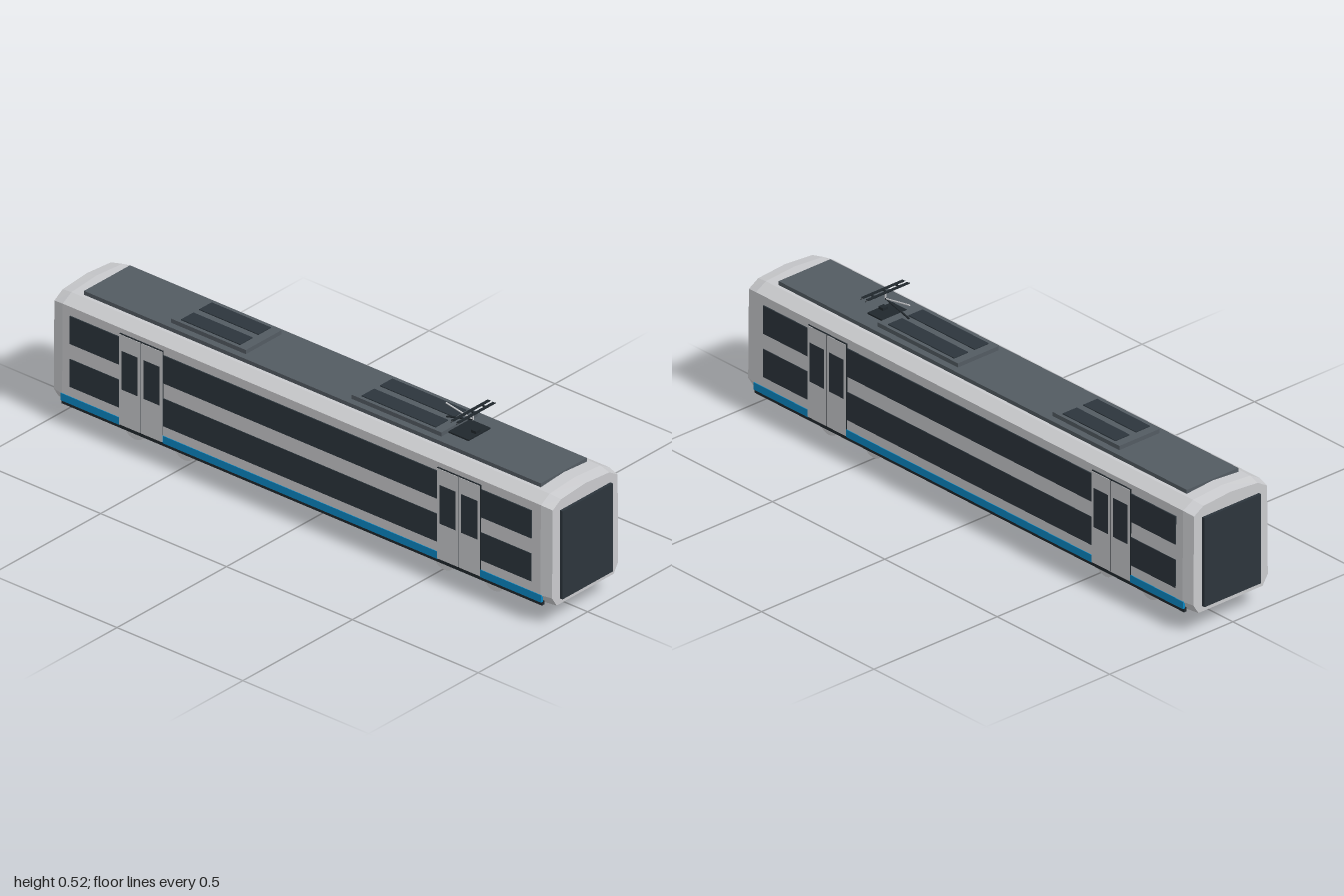
import * as THREE from 'three';

const mat = (name, color) => {
  const m = new THREE.MeshStandardMaterial({ color });
  m.name = name;
  return m;
};

export function createModel() {
  const light = mat('light grey paint', 0xc9cacd);
  const glass = mat('dark glass', 0x2c353c);
  const slate = mat('slate roof', 0x535b62);
  const blue = mat('blue stripe', 0x0a88c4);
  const black = mat('dark underframe', 0x20272c);

  const train = new THREE.Group();
  train.name = 'railCar';

  const add = (parent, name, geometry, material) => {
    const m = new THREE.Mesh(geometry, material);
    m.name = name;
    parent.add(m);
    return m;
  };
  // Box given by its limits on each axis
  const box = (parent, name, material, [x0, x1], [y0, y1], [z0, z1]) => {
    const m = add(parent, name, new THREE.BoxGeometry(x1 - x0, y1 - y0, z1 - z0), material);
    m.position.set((x0 + x1) / 2, (y0 + y1) / 2, (z0 + z1) / 2);
    return m;
  };
  // Round bar between two points
  const bar = (parent, name, material, a, b, r) => {
    const p = new THREE.Vector3(...a), q = new THREE.Vector3(...b);
    const m = add(parent, name, new THREE.CylinderGeometry(r, r, p.distanceTo(q), 8), material);
    m.position.copy(p).add(q).multiplyScalar(0.5);
    m.quaternion.setFromUnitVectors(new THREE.Vector3(0, 1, 0), q.sub(p).normalize());
    return m;
  };
  const group = (name) => {
    const g = new THREE.Group();
    g.name = name;
    train.add(g);
    return g;
  };

  // Body shell: one faceted cross-section, narrowed at both ends
  const half = [[0.137, 0.072], [0.159, 0.105], [0.156, 0.412], [0.116, 0.435], [0, 0.444]];
  const ring = [...half, ...half.slice(0, 4).reverse().map(([z, y]) => [-z, y])];
  const n = ring.length;
  const section = (x, sz, drop) => ring.map(([z, y]) => [x, y > 0.4 ? y - drop : y, z * sz]);
  const sections = [section(-0.99, 0.95, 0.007), section(-0.95, 1, 0), section(0.95, 1, 0), section(0.99, 0.95, 0.007)];
  const pos = [];
  const tri = (...pts) => pts.forEach((p) => pos.push(...p));
  for (let s = 0; s < 3; s++) {
    const a = sections[s], b = sections[s + 1];
    for (let j = 0; j < n; j++) {
      const k = (j + 1) % n;
      tri(a[j], b[j], b[k]);
      tri(a[j], b[k], a[k]);
    }
  }
  for (let j = 1; j < n - 1; j++) {
    tri(sections[0][0], sections[0][j], sections[0][j + 1]);
    tri(sections[3][0], sections[3][j + 1], sections[3][j]);
  }
  const shell = new THREE.BufferGeometry();
  shell.setAttribute('position', new THREE.Float32BufferAttribute(pos, 3));
  shell.computeVertexNormals();
  add(train, 'bodyShell', shell, light);

  // Dark end panels
  for (const s of [-1, 1]) {
    box(train, 'endPanel', glass, s > 0 ? [0.985, 1] : [-1, -0.985], [0.09, 0.392], [-0.115, 0.115]);
  }

  // Side details, the same on both long sides
  const doorCentres = [-0.635, 0.628];
  for (const s of [-1, 1]) {
    const side = group(s > 0 ? 'frontSide' : 'backSide');
    const zs = (inner, outer) => (s > 0 ? [inner, outer] : [-outer, -inner]);
    for (const y of [[0.14, 0.235], [0.287, 0.382]]) {
      for (const x of [[-0.92, -0.72], [-0.55, 0.543], [0.713, 0.915]]) {
        box(side, 'windowBand', glass, x, y, zs(0.152, 0.1602));
      }
    }
    for (const x of [[-0.955, -0.72], [-0.55, 0.543], [0.713, 0.955]]) {
      box(side, 'stripe', blue, x, [0.082, 0.107], zs(0.153, 0.1612));
    }
    box(side, 'sill', black, [-0.955, 0.955], [0.07, 0.083], zs(0.146, 0.157));
    for (const c of doorCentres) {
      box(side, 'doorGap', black, [c - 0.086, c + 0.086], [0.086, 0.396], zs(0.152, 0.161));
      for (const d of [-1, 1]) {
        const m = c + d * 0.0435;
        box(side, 'doorLeaf', light, [m - 0.0415, m + 0.0415], [0.085, 0.394], zs(0.154, 0.1625));
        box(side, 'doorWindow', glass, [m - 0.032, m + 0.032], [0.208, 0.34], zs(0.16, 0.1634));
      }
    }
  }

  // Roof deck and equipment pods with dark grilles
  box(train, 'roofDeck', slate, [-0.91, 0.905], [0.434, 0.449], [-0.105, 0.105]);
  for (const [x0, x1] of [[-0.585, -0.287], [0.133, 0.49]]) {
    box(train, 'roofPod', slate, [x0, x1], [0.446, 0.463], [-0.082, 0.082]);
    for (const z of [[-0.07, -0.013], [0.013, 0.07]]) {
      box(train, 'roofGrille', glass, [x0 + 0.03, x1 - 0.033], [0.46, 0.466], z);
    }
  }

  // Current collector on the roof
  const collector = group('currentCollector');
  box(collector, 'collectorBase', black, [0.49, 0.57], [0.447, 0.454], [-0.05, 0.05]);
  box(collector, 'collectorMount', black, [0.545, 0.565], [0.45, 0.463], [-0.01, 0.01]);
  bar(collector, 'lowerArm', black, [0.44, 0.466, 0], [0.545, 0.494, 0], 0.003);
  bar(collector, 'upperArm', light, [0.545, 0.493, 0], [0.437, 0.512, 0], 0.0025);
  bar(collector, 'headLink', light, [0.545, 0.493, 0], [0.545, 0.518, 0], 0.0025);
  for (const x of [0.535, 0.556]) {
    box(collector, 'contactStrip', black, [x - 0.005, x + 0.005], [0.519, 0.522], [-0.083, 0.083]);
    for (const s of [-1, 1]) {
      bar(collector, 'headHorn', black, [x, 0.52, s * 0.082], [x, 0.517, s * 0.09], 0.0015);
    }
  }
  for (const z of [-0.05, 0, 0.05]) {
    box(collector, 'headBrace', black, [0.532, 0.559], [0.517, 0.52], [z - 0.003, z + 0.003]);
  }

  // Bogies: wheels, axles, axle boxes and cross frame
  for (const c of [-0.626, 0.604]) {
    const bogie = group('bogie');
    box(bogie, 'bogieBolster', black, [c - 0.03, c + 0.03], [0.045, 0.074], [-0.068, 0.068]);
    box(bogie, 'bogieSpine', black, [c - 0.1, c + 0.1], [0.05, 0.062], [-0.015, 0.015]);
    for (const d of [-1, 1]) {
      const x = c + d * 0.099;
      bar(bogie, 'axle', black, [x, 0.046, -0.095], [x, 0.046, 0.095], 0.011);
      for (const s of [-1, 1]) {
        const wheel = add(bogie, 'wheel', new THREE.CylinderGeometry(0.046, 0.046, 0.014, 24), light);
        wheel.rotation.x = Math.PI / 2;
        wheel.position.set(x, 0.046, s * 0.079);
        box(bogie, 'axleBox', black, [x - 0.046, x + 0.046], [0.042, 0.064],
          s > 0 ? [0.088, 0.106] : [-0.106, -0.088]);
      }
    }
    for (const s of [-1, 1]) {
      box(bogie, 'sideBeam', black, [c - 0.055, c + 0.055], [0.053, 0.062], s > 0 ? [0.09, 0.1] : [-0.1, -0.09]);
    }
  }

  // Equipment boxes under the floor
  const under = group('underfloorEquipment');
  box(under, 'equipmentBox', glass, [-0.355, -0.022], [0.04, 0.074], [-0.107, 0.107]);
  box(under, 'equipmentBox', glass, [0.01, 0.307], [0.04, 0.074], [-0.107, 0.107]);
  box(under, 'equipmentBridge', glass, [-0.022, 0.01], [0.04, 0.074], [-0.107, -0.03]);
  box(under, 'equipmentTray', black, [-0.083, 0.06], [0.033, 0.05], [-0.1, -0.085]);

  return train;
}
